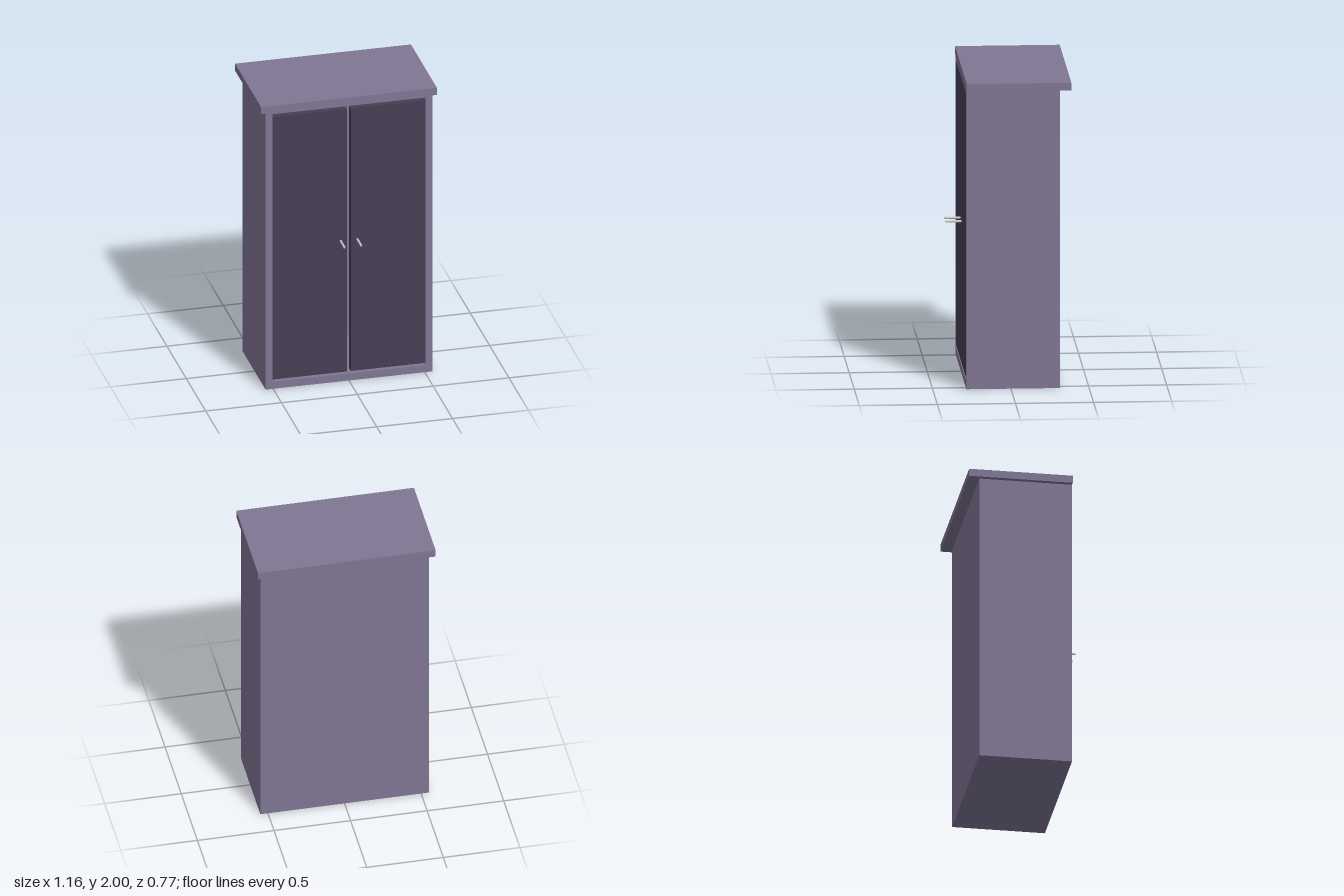
import * as THREE from 'three';

export function createModel() {
  const model = new THREE.Group();
  const bodyMat = new THREE.MeshStandardMaterial({ color: 0x807694 });
  const doorMat = new THREE.MeshStandardMaterial({ color: 0x463e55 });
  const handleMat = new THREE.MeshStandardMaterial({ color: 0xcccccc, flatShading: true });

  const FRONT = 0.285, BACK = -0.315, BACK_THICK = 0.05;

  const add = (name, geometry, material, x, y, z) => {
    const mesh = new THREE.Mesh(geometry, material);
    mesh.name = name;
    mesh.position.set(x, y, z);
    model.add(mesh);
    return mesh;
  };

  // box given by its min and max corners
  const addBox = (name, material, [x0, y0, z0], [x1, y1, z1]) =>
    add(name, new THREE.BoxGeometry(x1 - x0, y1 - y0, z1 - z0), material,
      (x0 + x1) / 2, (y0 + y1) / 2, (z0 + z1) / 2);

  // rectangle outline
  const rect = (path, x, y0, y1) =>
    path.moveTo(-x, y0).lineTo(x, y0).lineTo(x, y1).lineTo(-x, y1).closePath();

  // hollow carcass: sides, floor and ceiling in one piece, open at the front
  const outline = new THREE.Shape();
  rect(outline, 0.55, 0, 1.95);
  const opening = new THREE.Path();
  rect(opening, 0.505, 0.05, 1.94);
  outline.holes.push(opening);
  add('carcass', new THREE.ExtrudeGeometry(outline, {
    depth: FRONT - BACK - BACK_THICK, bevelEnabled: false,
  }), bodyMat, 0, 0, BACK + BACK_THICK);
  addBox('backPanel', bodyMat, [-0.55, 0, BACK], [0.55, 1.95, BACK + BACK_THICK]);

  // top board, overhanging the sides and the back
  addBox('topBoard', bodyMat, [-0.58, 1.95, -0.385], [0.58, 2, FRONT]);

  // doors with a narrow gap between them, each with a thin rod handle
  for (const [side, name] of [[1, 'left'], [-1, 'right']]) {
    const inner = side * 0.0125, outer = side * 0.505;
    addBox(name + 'Door', doorMat,
      [Math.min(inner, outer), 0.065, FRONT - 0.05], [Math.max(inner, outer), 1.92, FRONT - 0.001]);
    const handle = add(name + 'Handle', new THREE.CylinderGeometry(0.0075, 0.0075, 0.11, 8),
      handleMat, side * 0.055, 0.992, FRONT + 0.045);
    handle.rotation.x = Math.PI / 2;
  }

  return model;
}
